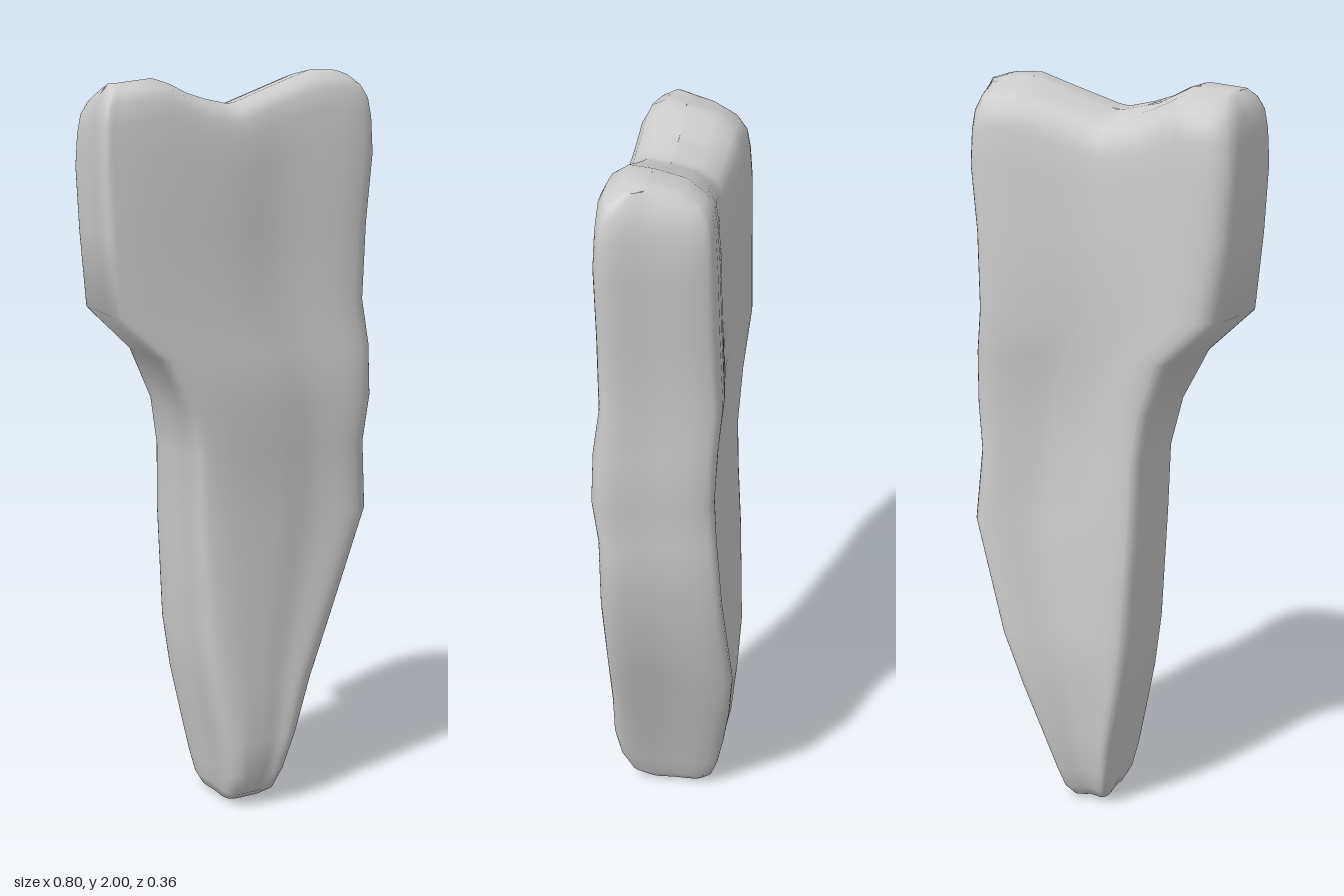
import * as THREE from 'three';

// Levels from the tip up: y, left x, right x, front z, back z
const LEVELS = [
  [0, 0, 0.065, 0.05, -0.05],
  [0.01, -0.02, 0.085, 0.09, -0.075],
  [0.04, -0.034, 0.106, 0.135, -0.1],
  [0.1, -0.045, 0.125, 0.163, -0.12],
  [0.2, -0.062, 0.158, 0.177, -0.14],
  [0.35, -0.092, 0.21, 0.172, -0.163],
  [0.5, -0.112, 0.27, 0.168, -0.177],
  [0.81, -0.13, 0.388, 0.16, -0.157],
  [1, -0.135, 0.375, 0.165, -0.138],
  [1.13, -0.165, 0.387, 0.178, -0.132],
  [1.27, -0.24, 0.385, 0.172, -0.137],
  [1.39, -0.37, 0.372, 0.157, -0.145],
  [1.6, -0.39, 0.38, 0.157, -0.136],
  [1.8, -0.4, 0.397, 0.158, -0.132],
  [1.9, -0.396, 0.394, 0.152, -0.126],
];

// Rounded rim closing the top: y, x scale, z scale
const RIM = [[1.95, 0.98, 0.95], [1.98, 0.94, 0.82], [2, 0.89, 0.5], [2, 0.85, 0]];

// Notched line along the top
const CREST = [[-0.4, 1.965], [-0.23, 1.985], [-0.13, 1.937], [-0.02, 1.915], [0.22, 2], [0.3, 2], [0.4, 1.97]];
const SEGMENTS = 84;

function crest(x) {
  const i = Math.max(1, CREST.findIndex(([cx]) => x <= cx));
  const [x0, y0] = CREST[i - 1], [x1, y1] = CREST[i];
  return THREE.MathUtils.mapLinear(x, x0, x1, y0, y1);
}

// Slab section with slanted sides and a shallow hollow along the back
function section([y, xl, xr, zf, zb]) {
  const w = xr - xl, corner = (zf - zb) * 0.1;
  const inset = Math.min(0.04, w * 0.14), backInset = Math.min(0.025, w * 0.1);
  const slant = THREE.MathUtils.clamp((y - 0.35) * 0.11, 0.006, 0.05);
  const upper = THREE.MathUtils.smoothstep(y, 1, 1.4);
  const leftSlant = 0.03 * upper, leftInset = backInset + 0.02 * upper;
  const hollow = Math.min(w * 0.1, 0.02 + 0.028 * Math.exp(-(((y - 0.75) / 0.4) ** 2)));
  const zg = zb + hollow, zl = Math.max(zb, zb * 0.5 - 0.07);
  const points = [
    [xl, zf - corner],
    [xl + inset, zf - w * 0.02],
    [xl + w * 0.42, zf],
    [xl + w * 0.65, zf - w * 0.015],
    [xr - inset, zf - w * 0.006],
    [xr, zf - corner],
    [xr - slant * 0.4, (zf + zb) / 2],
    [xr - slant, zb + corner],
    [xr - slant - backInset, zb],
    [xl + w * 0.55, zg],
    [xl + w * 0.35, zg * 0.7 + zl * 0.3],
    [xl + leftSlant + leftInset, zl],
    [xl + leftSlant, zl + corner],
    [xl + leftSlant * 0.4, (zf + zl) / 2],
  ].map(([x, z]) => new THREE.Vector3(x, y, z));
  return new THREE.CatmullRomCurve3(points, true, 'centripetal').getPoints(SEGMENTS).slice(0, SEGMENTS);
}

function createBodyGeometry() {
  const rings = LEVELS.map(section);

  // Draw the tip closed along a line
  rings.unshift(rings[0].map((p) => new THREE.Vector3(0.033 + (p.x - 0.033) * 0.6, 0, 0)));

  // Close the top with shrinking copies of the last section
  const last = rings[rings.length - 1];
  for (const [y, sx, sz] of RIM) {
    rings.push(last.map((p) => new THREE.Vector3(p.x * sx, y, 0.03 + (p.z - 0.03) * sz)));
  }

  // Bend the upper levels to the notch and lower the back rim
  for (const p of rings.flat()) {
    const k = THREE.MathUtils.smoothstep(p.y, 1.5, 2);
    p.y += k * (crest(p.x) - 2 + Math.min(0, p.z - 0.06) * 0.22);
  }

  const index = [];
  for (let i = 0; i < rings.length - 1; i++) {
    for (let j = 0; j < SEGMENTS; j++) {
      const a = i * SEGMENTS + j, b = i * SEGMENTS + ((j + 1) % SEGMENTS);
      index.push(a, b, b + SEGMENTS, a, b + SEGMENTS, a + SEGMENTS);
    }
  }
  const geometry = new THREE.BufferGeometry().setFromPoints(rings.flat());
  geometry.setIndex(index);
  geometry.computeVertexNormals();
  return geometry;
}

export function createModel() {
  const model = new THREE.Group();
  model.name = 'taperedSlab';
  const body = new THREE.Mesh(createBodyGeometry(), new THREE.MeshStandardMaterial({ color: 0xcccccc }));
  body.name = 'body';
  model.add(body);
  return model;
}
